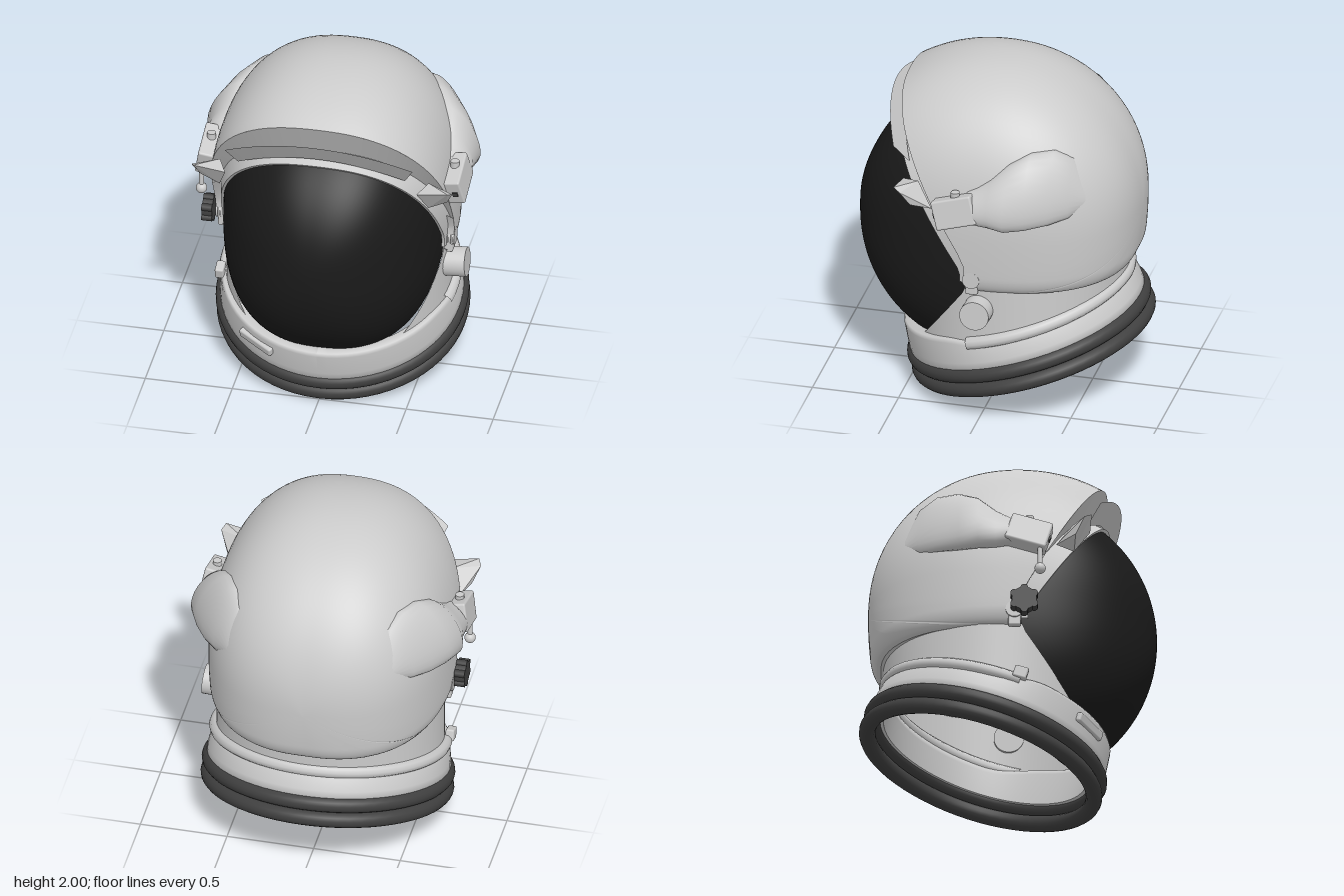
import * as THREE from 'three';
import { ConvexGeometry } from 'three/addons/geometries/ConvexGeometry.js';
import { RoundedBoxGeometry } from 'three/addons/geometries/RoundedBoxGeometry.js';

const mat = (name, color, side = THREE.FrontSide) => {
  const m = new THREE.MeshStandardMaterial({ color, side });
  m.name = name;
  return m;
};

// Surface through rows of points; wrap closes each row into a loop
function loft(rows, wrap = false) {
  const n = rows[0].length, pos = [], idx = [];
  rows.forEach((r) => r.forEach((p) => pos.push(p.x, p.y, p.z)));
  for (let i = 0; i < rows.length - 1; i++) {
    for (let j = 0; j < (wrap ? n : n - 1); j++) {
      const k = (j + 1) % n, a = i * n + j, b = i * n + k, c = a + n, d = b + n;
      idx.push(a, b, c, b, d, c);
    }
  }
  const g = new THREE.BufferGeometry();
  g.setAttribute('position', new THREE.Float32BufferAttribute(pos, 3));
  g.setIndex(idx);
  g.computeVertexNormals();
  return g;
}

// Largest parameter in [0, max] for which the point still satisfies ok
function limit(point, ok, max) {
  let lo = 0, hi = max;
  for (let i = 0; i < 30; i++) {
    const m = (lo + hi) / 2;
    if (ok(point(m))) lo = m; else hi = m;
  }
  return lo;
}

const V = (x, y, z) => new THREE.Vector3(x, y, z);
const range = (n, f) => Array.from({ length: n }, (_, i) => f(i));
// Length factor that turns a unit direction into a rounder or squarer outline
const square = (a, b, n) => (Math.abs(a) ** n + Math.abs(b) ** n) ** (-1 / n);

// Dome of the shell, measured from its back pole, with a rolled lower hem
function shellPoint(psi, a) {
  const u = Math.cos(psi), s = Math.sin(psi);
  const m = square(Math.sin(a), Math.cos(a), 2 + 0.4 * u * u);
  const r = Math.sin(a) * m * square(u, s, 2.25), c = Math.cos(a) * m;
  const p = V(0.69 * r * u, 1.15 + (s > 0 ? 0.85 : 1.3) * r * s, 0.05 - (c > 0 ? 0.84 : 0.9) * c);
  const k = THREE.MathUtils.clamp((0.92 - p.y) / 0.1, 0, 1);
  const f = 1 - 0.06 * (1 - Math.sqrt(1 - k * k));
  p.x *= f;
  if (p.z < 0) p.z *= f;
  return p;
}
const inShell = (p) => p.y >= 0.82 && p.z <= Math.max(0.075, 0.075 + 0.566 * (p.y - 1));
const shellEdge = (psi) => limit((a) => shellPoint(psi, a), inShell, Math.PI);

// Squarish visor bubble, measured from its front pole
function visorPoint(psi, a, k = 1) {
  const r = k * Math.sin(a) * square(Math.cos(psi), Math.sin(psi), 2.5);
  return V(0.625 * r * Math.cos(psi), 1 + 0.79 * r * Math.sin(psi), 0.05 + 0.785 * k * Math.cos(a));
}
const inVisor = (p) => p.y > 0.335 && p.z >= 0.07 + Math.max(0, 0.66 * (p.y - 0.93), 0.72 * (0.8 - p.y));
const visorEdge = (psi) => limit((a) => visorPoint(psi, a), inVisor, Math.PI);

// Tilted frame of the neck ring
const TILT = 0.3, NECK = V(0, 0.335, -0.13);
const tilted = (x, y, z) => V(x, y, z).applyAxisAngle(V(1, 0, 0), TILT).add(NECK);

export function createModel() {
  const light = mat('lightGrey', 0xcbcbcb);
  const lightSheet = mat('lightGreySheet', 0xcbcbcb, THREE.DoubleSide);
  const rubber = mat('darkRubber', 0x404040);
  const black = mat('blackVisor', 0x1a1a1a, THREE.DoubleSide);
  const model = new THREE.Group();
  const add = (name, geo, m, parent = model) => {
    const mesh = new THREE.Mesh(geo, m);
    mesh.name = name;
    parent.add(mesh);
    return mesh;
  };

  // Outer shell, with extra meridians where the bottom edge turns the front corner
  const N = 96, turn = (j) => (j / N) * Math.PI * 2;
  const corner = range(40, (i) => 0.16 + 0.0051 * i);
  const angles = [...range(N, turn), ...corner.map((q) => Math.PI + q), ...corner.map((q) => 2 * Math.PI - q)]
    .sort((a, b) => a - b);
  const sEdge = angles.map(shellEdge);
  add('outerShell', loft(range(37, (i) => angles.map((q, j) =>
    shellPoint(q, sEdge[j] * Math.max(i / 36, 1e-4)))), true), lightSheet);

  // Visor
  const vEdge = range(N, (j) => visorEdge(turn(j)));
  add('visor', loft(range(29, (i) => range(N, (j) =>
    visorPoint(turn(j), vEdge[j] * Math.max(i / 28, 1e-4)))), true), black);

  // Hem closing the gap between shell bottom and neck
  const hem = angles.filter((q) => q >= Math.PI).map((q) => shellPoint(q, shellEdge(q)));
  add('shellHem', loft([hem, hem.map((p) => V(p.x * 0.93, p.y + 0.02, p.z < 0 ? p.z * 0.88 : p.z))]), lightSheet);

  // Visor frame, brow lining and sunshade over the opening
  const arch = range(65, (i) => -0.17 + (i / 64) * (Math.PI + 0.34));
  const frame = (da, k, dz = 0) => arch.map((q) => visorPoint(q, visorEdge(q) - da, k).add(V(0, 0, dz)));
  const frameFront = frame(0.05, 1.025), frameOuter = frame(0, 1.06, -0.09);
  add('visorFrame', loft([frame(0.05, 1.0), frameFront]), lightSheet);
  add('visorFrameFace', loft([frameFront, frameOuter]), lightSheet);
  add('browLining', loft([frameOuter, arch.map((q) => shellPoint(q, shellEdge(q)))]), lightSheet);
  const span = range(25, (i) => i / 12 - 1);
  add('sunshade', loft([
    span.map((s) => V(0.54 * s, 1.78 - 0.16 * s * s, 0.635 - 0.115 * s * s)),
    span.map((s) => V(0.48 * s, 1.65 - 0.15 * s * s, 0.55 - 0.11 * s * s)),
  ]), lightSheet);

  // Neck wall between the tilted collar and the shell
  const wall = range(N, (j) => {
    const x = Math.sin(turn(j)), z = Math.cos(turn(j));
    const a = tilted(0.645 * x, 0.16, 0.645 * z), b = V(0.64 * x, 0.87, -0.065 + 0.64 * z);
    const at = (t) => a.clone().lerp(b, t);
    const t = limit(at, (p) => p.z <= 0.085 + Math.max(0, 0.72 * (0.8 - p.y)), 1);
    return range(9, (i) => at((t * i) / 8));
  });
  add('neckWall', loft([...wall, wall[0]]), lightSheet);

  // Collar and rubber rings
  const neck = new THREE.Group();
  neck.name = 'neckRing';
  neck.position.copy(NECK);
  neck.rotation.x = TILT;
  model.add(neck);
  const profile = [[0.6, 0.0], [0.69, 0.0], [0.685, 0.08], [0.672, 0.15], [0.66, 0.17], [0.61, 0.17], [0.6, 0.14], [0.6, 0.0]];
  const collar = new THREE.LatheGeometry(profile.map(([r, y]) => new THREE.Vector2(r, y)), 72);
  const cp = collar.attributes.position;
  for (let i = 0; i < cp.count; i++) {
    if (cp.getY(i) > 0.1) cp.setY(i, cp.getY(i) + 0.055 * THREE.MathUtils.smoothstep(cp.getZ(i), -0.05, 0.3));
  }
  collar.computeVertexNormals();
  add('collar', collar, lightSheet, neck);
  [0, -0.09].forEach((y) => {
    const ring = add('rubberRing', new THREE.TorusGeometry(0.668, 0.047, 14, 64), rubber, neck);
    ring.rotation.x = Math.PI / 2;
    ring.position.y = y;
  });
  const rim = add('rearRim', new THREE.TorusGeometry(0.648, 0.038, 10, 40, Math.PI * 1.14), light, neck);
  rim.rotation.set(-Math.PI / 2, 0, -Math.PI * 0.07);
  rim.position.y = 0.19;
  const latch = add('frontLatch', new RoundedBoxGeometry(0.24, 0.055, 0.04, 2, 0.012), light, neck);
  latch.position.set(-0.37, 0.15, 0.565);
  latch.rotation.y = -0.57;

  // Side pods: [z, centre y, half height, centre x, half width]
  const pod = [[0.06, 1.37, 0.08, 0.68, 0.05], [0.0, 1.38, 0.1, 0.68, 0.085], [-0.07, 1.4, 0.13, 0.665, 0.085],
    [-0.17, 1.44, 0.18, 0.66, 0.105], [-0.28, 1.47, 0.205, 0.61, 0.1], [-0.4, 1.48, 0.2, 0.55, 0.085],
    [-0.5, 1.46, 0.16, 0.485, 0.075], [-0.58, 1.4, 0.06, 0.43, 0.05]];
  for (const s of [1, -1]) {
    const side = new THREE.Group();
    side.name = s > 0 ? 'leftSide' : 'rightSide';
    model.add(side);
    const rows = pod.map(([z, y, h, x, w]) => range(24, (j) => {
      const q = (j / 24) * Math.PI * 2, dy = h * Math.sin(q);
      return V(s * (x + w * Math.cos(q) - 0.38 * dy), y + dy, z);
    }));
    add('sidePod', loft(rows, true), lightSheet, side);

    const box = add('podBox', new RoundedBoxGeometry(0.1, 0.17, 0.24, 2, 0.012), light, side);
    box.position.set(s * 0.715, 1.345, 0.115);
    box.rotation.set(0.29, 0, s * 0.18);
    const button = add('podButton', new THREE.CylinderGeometry(0.025, 0.025, 0.05, 16), light, side);
    button.position.set(s * 0.7, 1.435, 0.12);
    const inset = add('podInset', new THREE.BoxGeometry(0.03, 0.03, 0.008), rubber, side);
    inset.position.set(s * 0.725, 1.31, 0.235);
    inset.rotation.set(0.29, 0, s * 0.18);

    // Blinker tab beside the brow
    const tab = [V(s * 0.55, 1.43, 0.46), V(s * 0.6, 1.29, 0.37), V(s * 0.73, 1.46, 0.47),
      V(s * 0.75, 1.44, 0.43), V(s * 0.71, 1.35, 0.38)];
    add('blinkerTab', new ConvexGeometry([...tab, ...tab.slice(0, 2).map((p) => V(p.x + s * 0.05, p.y + 0.02, p.z - 0.1))]),
      light, side);

    // Visor hinge of stacked discs on a bracket, just inside the shell edge
    const bracket = add('hingeBracket', new RoundedBoxGeometry(0.04, 0.19, 0.07, 2, 0.01), light, side);
    bracket.position.set(s * 0.655, 0.9, 0.035);
    for (const x of [0.64, 0.66, 0.68]) {
      const disc = add('hingeDisc', new THREE.CylinderGeometry(0.05, 0.05, 0.012, 20), light, side);
      disc.position.set(s * x, 0.9, 0.035);
      disc.rotation.z = Math.PI / 2;
    }
  }

  // Left air port
  const port = add('airPort', new THREE.CylinderGeometry(0.085, 0.085, 0.13, 28), light);
  port.position.set(0.68, 0.705, 0);
  port.rotation.z = -Math.PI / 2 + 0.06;

  // Right collar lug
  const lug = add('collarLug', new RoundedBoxGeometry(0.05, 0.07, 0.08, 2, 0.01), light);
  lug.position.set(-0.66, 0.51, 0.07);
  lug.rotation.x = TILT;

  // Right adjustment knob with grips
  const knob = new THREE.Group();
  knob.name = 'adjustKnob';
  knob.position.set(-0.72, 0.935, 0.09);
  knob.rotation.z = Math.PI / 2;
  model.add(knob);
  add('knobBody', new THREE.CylinderGeometry(0.07, 0.07, 0.06, 24), rubber, knob);
  for (let i = 0; i < 6; i++) {
    const a = (i * Math.PI) / 3;
    const grip = add('knobGrip', new THREE.CylinderGeometry(0.022, 0.022, 0.06, 10), rubber, knob);
    grip.position.set(0.065 * Math.cos(a), 0, 0.065 * Math.sin(a));
  }

  // Right pull lever under the pod box
  const stem = add('leverStem', new THREE.CylinderGeometry(0.014, 0.014, 0.12, 12), light);
  stem.position.set(-0.745, 1.19, 0.18);
  const ball = add('leverBall', new THREE.SphereGeometry(0.032, 16, 12), light);
  ball.position.set(-0.745, 1.12, 0.18);

  return model;
}
